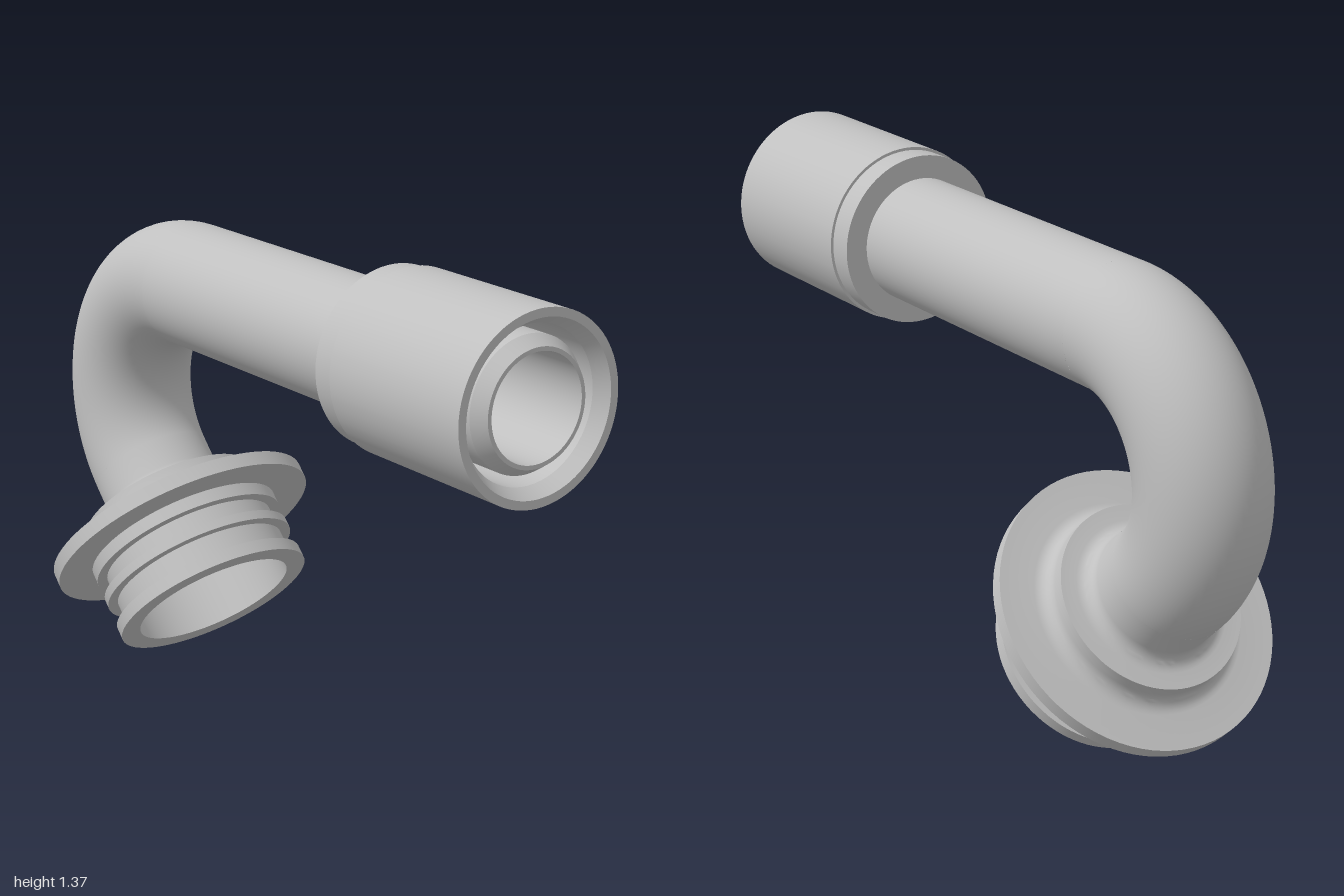
import * as THREE from 'three';
import { toCreasedNormals } from 'three/addons/utils/BufferGeometryUtils.js';

const OUTER = 0.174, BORE = 0.139, BEND = 0.348;
const CX = -0.478, CY = 0.778; // centre of the bend

export function createModel() {
  const group = new THREE.Group();
  const grey = new THREE.MeshStandardMaterial({ color: 0xc0c0c0, side: THREE.DoubleSide });
  grey.name = 'pipe grey';

  const add = (name, geometry, x, y, angle) => {
    const mesh = new THREE.Mesh(geometry, grey);
    mesh.name = name;
    mesh.position.set(x, y, 0);
    mesh.rotation.z = angle;
    group.add(mesh);
  };
  // Turned part from [radius, distance along axis] pairs
  const turned = (points) => toCreasedNormals(
    new THREE.LatheGeometry(points.map(([r, t]) => new THREE.Vector2(r, t)), 80), 0.5);

  // Hollow 135 degree bend
  const arc = Math.PI * 0.75;
  add('bendOuter', new THREE.TorusGeometry(BEND, OUTER, 64, 64, arc), CX, CY, Math.PI / 2);
  add('bendBore', new THREE.TorusGeometry(BEND, BORE, 48, 64, arc), CX, CY, Math.PI / 2);

  // Straight pipe with a chamfered open end
  add('straightPipe', turned([
    [OUTER, 0], [OUTER, 1.43], [0.15, 1.468], [BORE, 1.468], [BORE, 0],
  ]), CX, CY + BEND, -Math.PI / 2);

  // Socket sleeve around the pipe end, with a stepped collar and flared mouth
  add('socketSleeve', turned([
    [OUTER, 0], [0.238, 0], [0.238, 0.07], [0.246, 0.07], [0.246, 0.57],
    [0.223, 0.57], [0.2, 0.53], [0.2, 0.27], [OUTER, 0.27],
  ]), 0.43, CY + BEND, -Math.PI / 2);

  // Flanged spigot at the lower end: hub, flange, seal ribs, tapered bore
  const hub = [[OUTER, 0], [OUTER, 0.085]];
  for (let i = 1; i <= 6; i++) { // fillet from the pipe to the hub
    const a = (i / 6) * Math.PI / 2;
    hub.push([OUTER + 0.04 * (1 - Math.cos(a)), 0.085 + 0.04 * Math.sin(a)]);
  }
  hub.push([0.257, 0.125], [0.257, 0.16]);
  for (let i = 1; i <= 6; i++) { // fillet from the hub to the flange
    const a = (i / 6) * Math.PI / 2;
    hub.push([0.257 + 0.04 * (1 - Math.cos(a)), 0.16 + 0.04 * Math.sin(a)]);
  }
  hub.push([0.392, 0.2], [0.392, 0.242]);
  for (const [from, to] of [[0.242, 0.28], [0.333, 0.36], [0.425, 0.462]]) {
    if (from > 0.25) hub.push([0.258, from]);
    hub.push([0.288, from], [0.288, to]);
    if (to < 0.46) hub.push([0.258, to]);
  }
  hub.push([0.231, 0.462], [0.231, 0.22], [BORE, 0.12], [BORE, 0]);
  const s = BEND * Math.SQRT1_2;
  add('flangedSpigot', turned(hub), CX - s, CY - s, -Math.PI * 0.75);

  return group;
}
